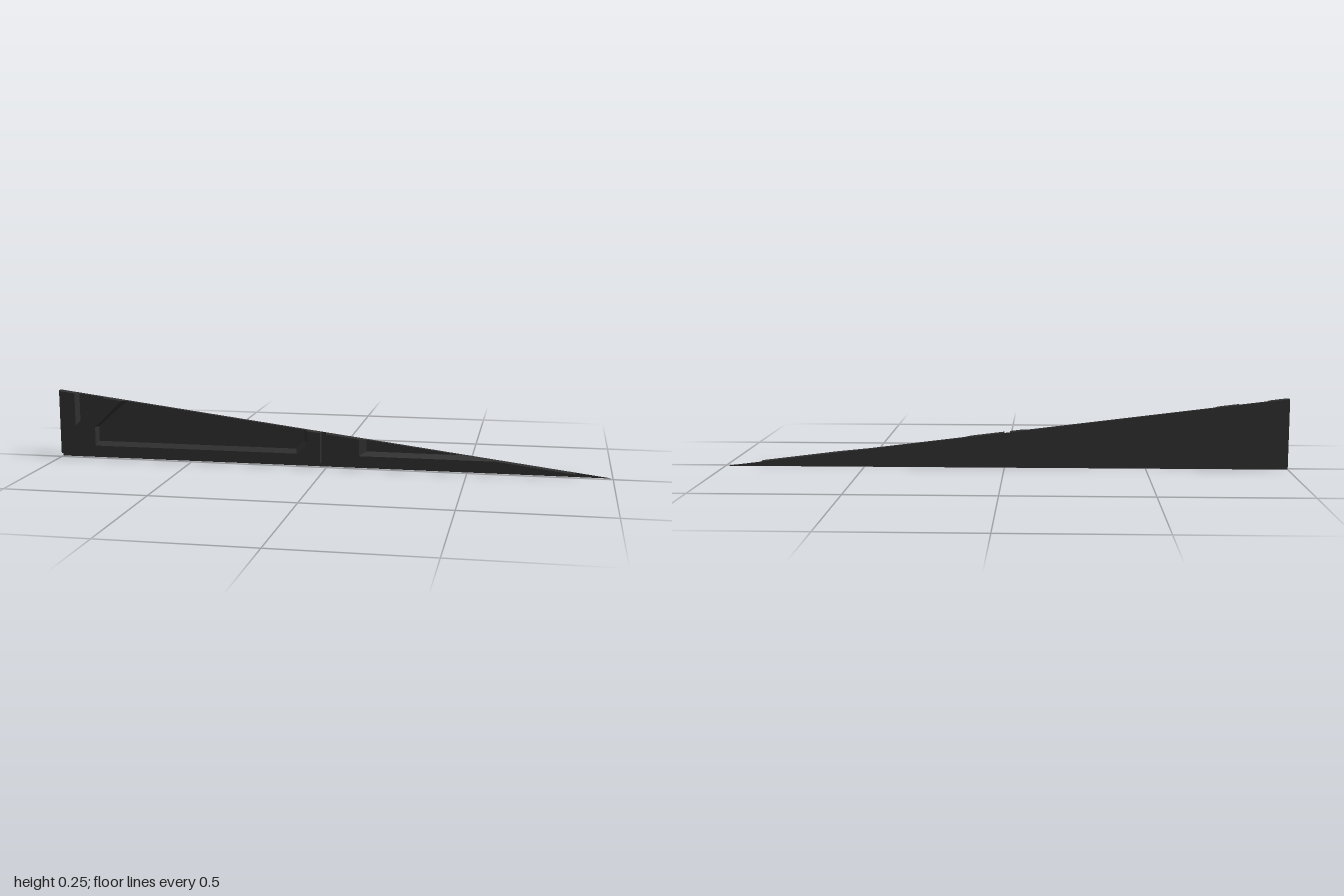
import * as THREE from 'three';

const BACK = -0.0155, FLOOR = 0, FRONT = 0.016, BASE = 0.016;
const slope = (x) => 0.125 * (1 - x);
const onSlope = (x) => [x, slope(x)];

// Solid between two matching counter-clockwise outlines at depths z0 and z1
function loft(back, front, z0, z1) {
  const pos = [];
  const put = (p, z) => pos.push(p[0], p[1], z);
  const n = back.length;
  for (let i = 0; i < n; i++) {
    const j = (i + 1) % n;
    put(back[i], z0); put(back[j], z0); put(front[j], z1);
    put(back[i], z0); put(front[j], z1); put(front[i], z1);
  }
  const tris = THREE.ShapeUtils.triangulateShape(front.map((p) => new THREE.Vector2(...p)), []);
  for (const [a, b, c] of tris) {
    put(front[a], z1); put(front[b], z1); put(front[c], z1);
  }
  const g = new THREE.BufferGeometry();
  g.setAttribute('position', new THREE.Float32BufferAttribute(pos, 3));
  g.computeVertexNormals();
  return g;
}

export function createModel() {
  const charcoal = new THREE.MeshStandardMaterial({ color: 0x303030, side: THREE.DoubleSide });
  charcoal.name = 'charcoal';
  const model = new THREE.Group();
  model.name = 'wedgePanel';
  const add = (name, geometry) => {
    const mesh = new THREE.Mesh(geometry, charcoal);
    mesh.name = name;
    model.add(mesh);
    return mesh;
  };

  // Paper-thin back sheet: the full triangle
  const sheet = new THREE.Shape([[-1, 0], [1, 0], [-1, 0.25]].map((p) => new THREE.Vector2(...p)));
  add('backSheet', new THREE.ShapeGeometry(sheet)).position.z = BACK;

  // Recessed slabs either side of the central groove
  const leftSlab = [[-1, BASE], [-0.02, BASE], onSlope(-0.02), onSlope(-1)];
  const rightSlab = [[0, BASE], [0.872, BASE], onSlope(0)];
  add('largeRecessFloor', loft(leftSlab, leftSlab, BACK, FLOOR));
  add('smallRecessFloor', loft(rightSlab, rightSlab, BACK, FLOOR));

  // Raised frame of the tall half: rail, posts and diagonal brace, with bevelled inner edges
  const tallBase = [
    [-1, BASE], [-0.02, BASE], onSlope(-0.02), onSlope(-0.08), [-0.08, 0.095], [-0.11, 0.065],
    [-0.85, 0.065], [-0.85, 0.12], onSlope(-0.74), onSlope(-0.83), [-0.922, 0.13],
    onSlope(-0.922), onSlope(-1),
  ];
  const tallTop = [
    [-0.994, BASE], [-0.02, BASE], onSlope(-0.02), onSlope(-0.065), [-0.065, 0.09], [-0.105, 0.05],
    [-0.86, 0.05], [-0.86, 0.12], onSlope(-0.755), onSlope(-0.825), [-0.935, 0.122],
    onSlope(-0.935), onSlope(-0.994),
  ];
  add('tallFrame', loft(tallBase, tallTop, FLOOR, FRONT));

  // Raised frame of the low half
  const lowBase = [[0, BASE], [0.872, BASE], onSlope(0.48), [0.145, 0.065], onSlope(0.145), onSlope(0)];
  const lowTop = [[0, BASE], [0.872, BASE], onSlope(0.6), [0.12, 0.05], onSlope(0.12), onSlope(0)];
  add('lowFrame', loft(lowBase, lowTop, FLOOR, FRONT));

  return model;
}
